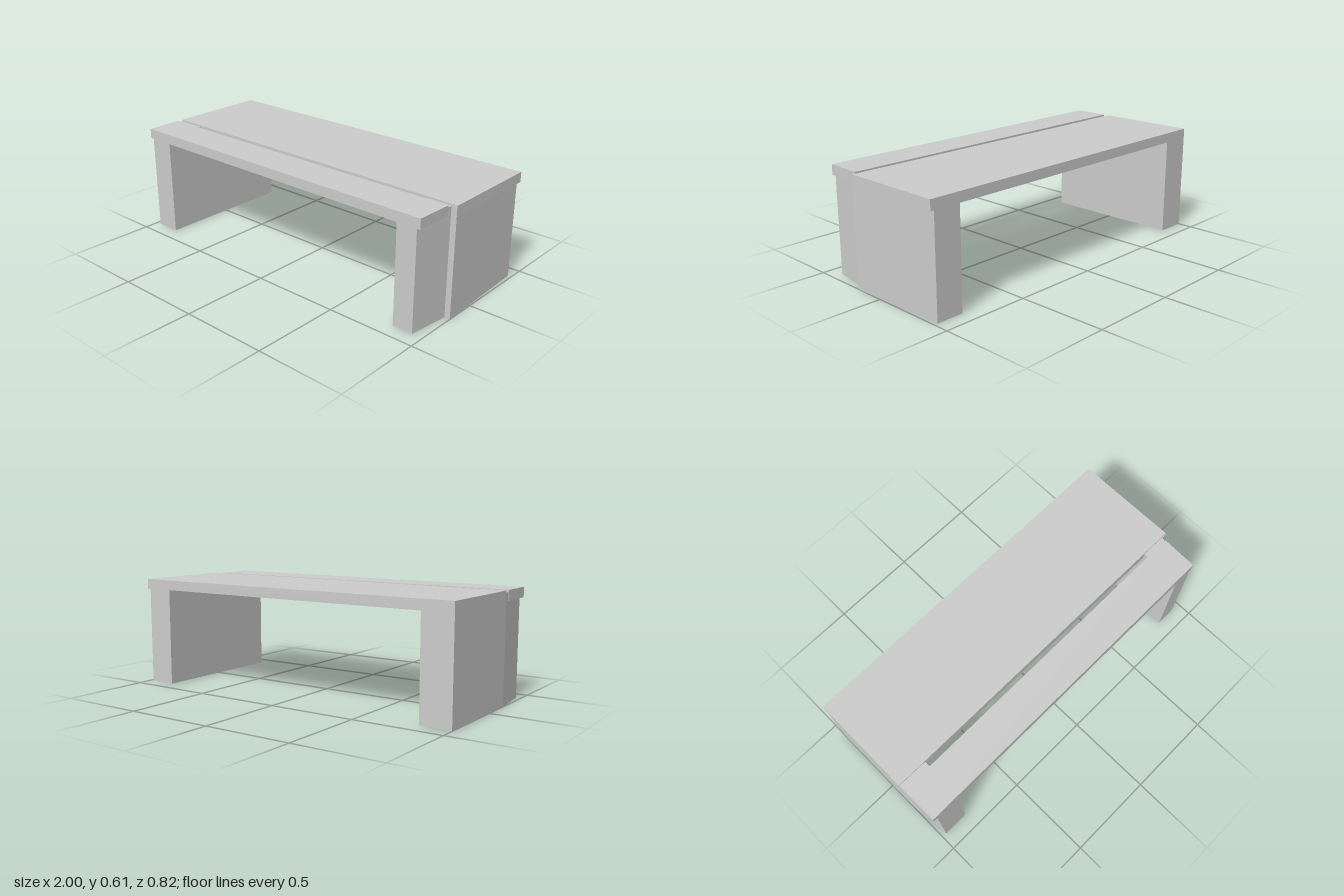
import * as THREE from 'three';

const material = new THREE.MeshStandardMaterial({ color: 0xcccccc });

// Upright prism from a plan outline of [x, z] corners, between two heights
function prism(name, outline, bottom, top) {
  const shape = new THREE.Shape(outline.map(([x, z]) => new THREE.Vector2(x, -z)));
  const geometry = new THREE.ExtrudeGeometry(shape, { depth: top - bottom, bevelEnabled: false });
  geometry.rotateX(-Math.PI / 2).translate(0, bottom, 0);
  const mesh = new THREE.Mesh(geometry, material);
  mesh.name = name;
  return mesh;
}

export function createModel() {
  const bench = new THREE.Group();
  bench.name = 'bench';
  const front = 0.412, back = -0.412;
  const seatBottom = 0.552, seatTop = 0.608, legTop = 0.598;

  // Two seat boards with a narrow gap between them
  bench.add(prism('backBoard',
    [[-1, back], [1, back], [1, 0.176], [-1, 0.168]], seatBottom, seatTop));
  bench.add(prism('frontBoard',
    [[-0.998, 0.205], [0.966, 0.203], [0.958, front], [-0.995, front]], seatBottom, seatTop));

  // Left leg: stepped outer face, tapering towards the front
  bench.add(prism('leftLeg',
    [[0.825, back], [0.98, back], [1, 0.18], [0.968, 0.18], [0.94, front], [0.825, front]], 0, legTop));

  // Right leg: outer face bends inwards near the front
  bench.add(prism('rightLeg',
    [[-0.825, back], [-1, back], [-1, 0.17], [-0.972, front], [-0.825, front]], 0, legTop));

  return bench;
}
